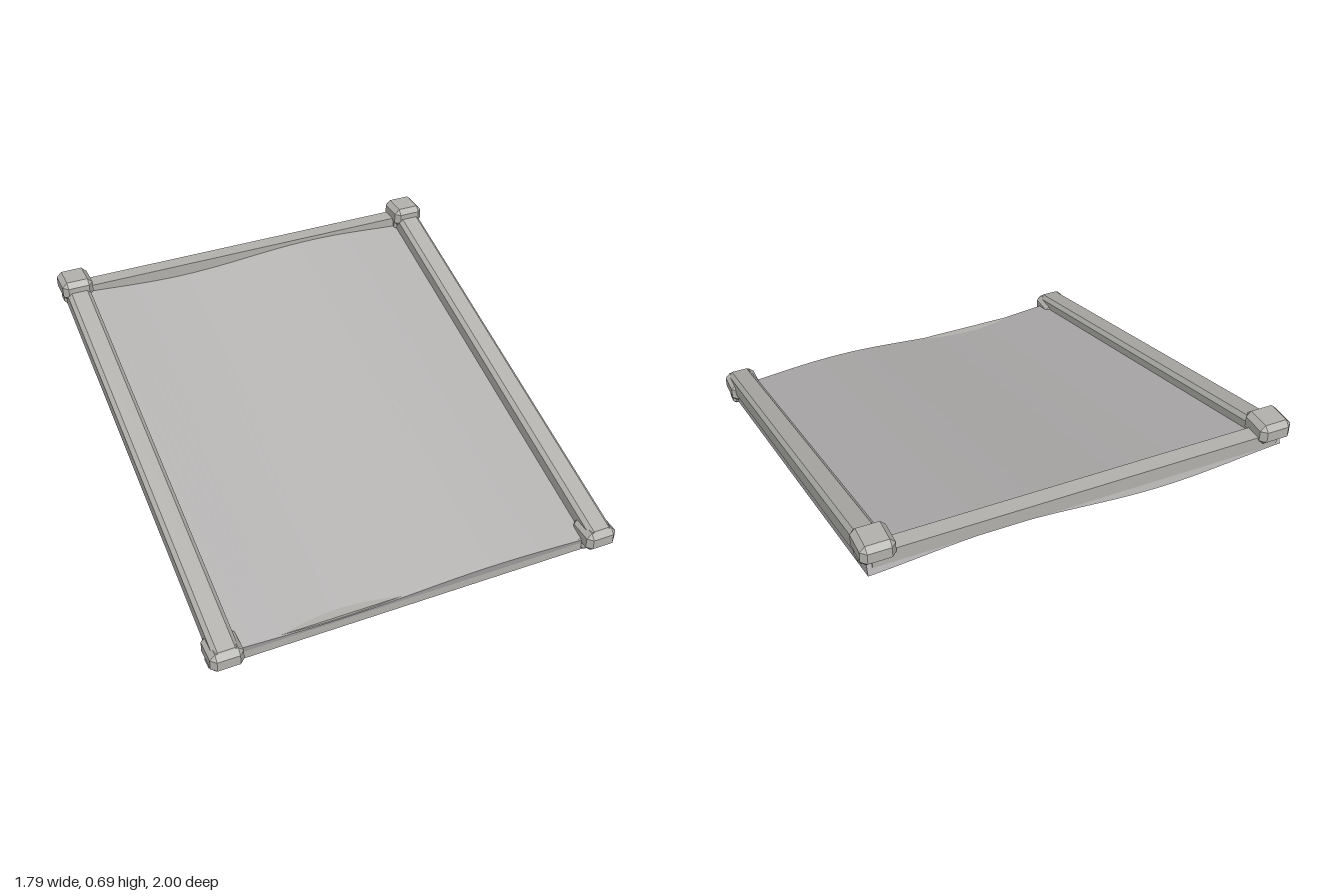
import * as THREE from 'three';
import { toCreasedNormals } from 'three/addons/utils/BufferGeometryUtils.js';
import { ConvexGeometry } from 'three/addons/geometries/ConvexGeometry.js';

const SLOPE = Math.atan(0.283);

// Box of the given full size with every edge cut at 45 degrees
function chamferBox(w, h, d, c) {
  const points = [];
  for (const x of [-1, 1]) for (const y of [-1, 1]) for (const z of [-1, 1]) {
    const [a, b, e] = [w / 2, h / 2, d / 2];
    points.push(
      new THREE.Vector3(x * a, y * (b - c), z * (e - c)),
      new THREE.Vector3(x * (a - c), y * b, z * (e - c)),
      new THREE.Vector3(x * (a - c), y * (b - c), z * e));
  }
  return new ConvexGeometry(points);
}

// Slab whose top and bottom follow the same wave across its width
function wavySlab(halfWidth, thickness, length) {
  const n = 48, top = [], bottom = [];
  for (let i = 0; i <= n; i++) {
    const x = -halfWidth + (2 * halfWidth * i) / n;
    const y = 0.0165 * Math.sin(x * Math.PI * 1.5);
    bottom.push(new THREE.Vector2(x, y - thickness));
    top.unshift(new THREE.Vector2(x, y));
  }
  const geometry = new THREE.ExtrudeGeometry(new THREE.Shape([...bottom, ...top]),
    { depth: length, bevelEnabled: false });
  geometry.translate(0, 0, -length / 2);
  return toCreasedNormals(geometry, 0.5);
}

export function createModel() {
  const model = new THREE.Group();
  model.name = 'slopedPanel';
  const panelGrey = new THREE.MeshStandardMaterial({ color: 0xb5b2b2 });
  panelGrey.name = 'panelGrey';
  const frameGrey = new THREE.MeshStandardMaterial({ color: 0xb3b2ae });
  frameGrey.name = 'frameGrey';

  const add = (name, geometry, material, x, y, z, tilt = 0) => {
    const mesh = new THREE.Mesh(geometry, material);
    mesh.name = name;
    mesh.position.set(x, y, z);
    mesh.rotation.x = tilt;
    model.add(mesh);
  };

  // Rippled sheet
  add('panel', wavySlab(0.87, 0.061, 1.975), panelGrey, 0, 0.346, -0.005, SLOPE);

  // Level cross bars at the low and high ends
  const bar = new THREE.BoxGeometry(1.7, 0.063, 0.07);
  add('frontBar', bar, frameGrey, 0, 0.042, 0.902);
  add('backBar', bar, frameGrey, 0, 0.604, -0.935);

  // Sloping side rails and corner blocks with feet
  const rail = chamferBox(0.106, 0.096, 2.0, 0.017);
  const cap = chamferBox(0.138, 0.09, 0.146, 0.022);
  const foot = chamferBox(0.128, 0.05, 0.07, 0.012);
  for (const [side, x] of [['left', 0.828], ['right', -0.828]]) {
    add(side + 'Rail', rail, frameGrey, x, 0.351, 0.015, SLOPE);
    for (const [end, y, z] of [['Front', 0.08, 0.925], ['Back', 0.648, -0.925]]) {
      add(side + end + 'Corner', cap, frameGrey, x, y, z);
      add(side + end + 'Foot', foot, frameGrey, x, y - 0.046, z + (z > 0 ? -0.01 : 0.01));
    }
  }
  return model;
}
